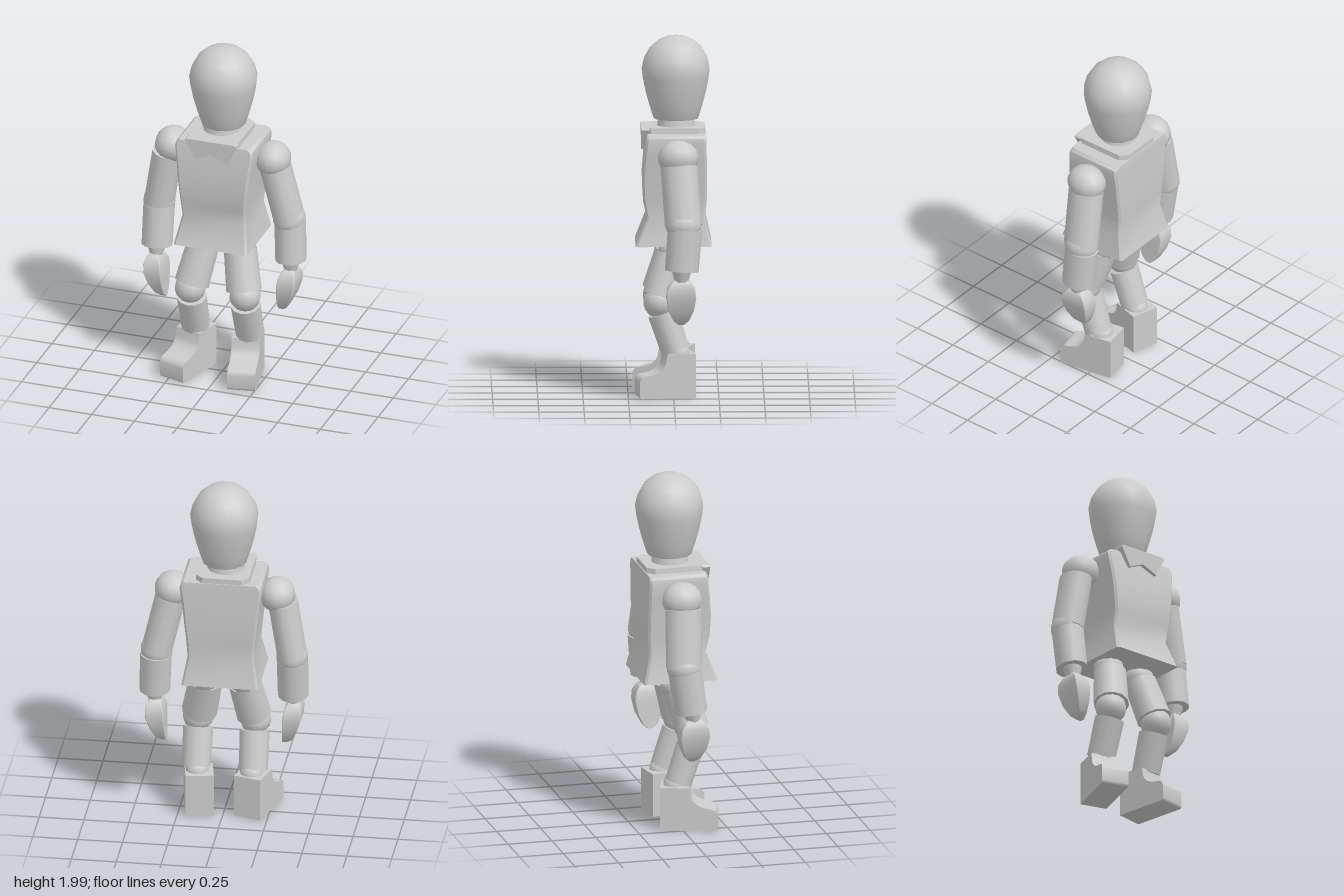
import * as THREE from 'three';
import { toCreasedNormals } from 'three/addons/utils/BufferGeometryUtils.js';

const material = new THREE.MeshStandardMaterial({ color: 0xcccccc });
const UP = new THREE.Vector3(0, 1, 0);

// Stacks rectangular sections [y, x0, x1, z0, z1] with cut corners c and closes both ends
function loft(sections, c) {
  const pos = [], idx = [];
  for (const [y, x0, x1, z0, z1] of sections) {
    const ring = [
      [x0 + c, z1], [x1 - c, z1], [x1, z1 - c], [x1, z0 + c],
      [x1 - c, z0], [x0 + c, z0], [x0, z0 + c], [x0, z1 - c],
    ];
    for (const [x, z] of ring) pos.push(x, y, z);
  }
  const last = (sections.length - 1) * 8;
  for (let k = 0; k < last; k += 8) {
    for (let i = 0; i < 8; i++) {
      const a = k + i, b = k + (i + 1) % 8;
      idx.push(a, b, b + 8, a, b + 8, a + 8);
    }
  }
  for (let i = 1; i < 7; i++) {
    idx.push(0, i + 1, i);
    idx.push(last, last + i, last + i + 1);
  }
  const g = new THREE.BufferGeometry();
  g.setAttribute('position', new THREE.Float32BufferAttribute(pos, 3));
  g.setIndex(idx);
  return toCreasedNormals(g, 0.6);
}

export function createModel() {
  const model = new THREE.Group();
  model.name = 'jointedFigure';

  function add(name, geometry) {
    const mesh = new THREE.Mesh(geometry, material);
    mesh.name = name;
    model.add(mesh);
    return mesh;
  }
  function ball(name, [x, y, z], r, rz = r) {
    const m = add(name, new THREE.SphereGeometry(1, 12, 9));
    m.position.set(x, y, z);
    m.scale.set(r, r, rz);
  }
  // Oval tube between two points
  function limb(name, top, bottom, rx, rz, flare = 1) {
    const a = new THREE.Vector3(...top), b = new THREE.Vector3(...bottom);
    const dir = a.clone().sub(b);
    const m = add(name, new THREE.CylinderGeometry(1, flare, dir.length(), 12));
    m.scale.set(rx, 1, rz);
    m.position.copy(a).add(b).multiplyScalar(0.5);
    m.quaternion.setFromUnitVectors(UP, dir.normalize());
  }

  // Egg-shaped head and neck
  const headProfile = [
    [0, 1.54], [0.122, 1.54], [0.125, 1.545], [0.146, 1.61], [0.168, 1.69], [0.184, 1.77],
    [0.19, 1.82], [0.176, 1.88], [0.145, 1.935], [0.1, 1.975], [0.05, 1.997], [0, 2],
  ].map(([r, y]) => new THREE.Vector2(r, y));
  const headGeometry = toCreasedNormals(new THREE.LatheGeometry(headProfile, 15), 0.9);
  add('head', headGeometry).position.z = -0.015;
  const neck = add('neck', new THREE.CylinderGeometry(0.095, 0.11, 0.1, 14));
  neck.position.set(-0.01, 1.51, -0.015);

  // Torso narrowing to the waist, then flaring to the hem
  const torso = [
    [0.85, 0.215, -0.21, 0.21],
    [1.01, 0.185, -0.175, 0.148],
    [1.1, 0.19, -0.183, 0.168],
    [1.22, 0.203, -0.185, 0.173],
    [1.34, 0.215, -0.183, 0.163],
    [1.43, 0.228, -0.182, 0.152],
    [1.455, 0.224, -0.181, 0.148],
    [1.47, 0.208, -0.18, 0.145],
  ].map(([y, w, z0, z1]) => [y, -w, w, z0, z1]);
  add('torso', loft(torso, 0.012));

  // Collar plate with two pointed flaps folded over the front
  add('collar', loft([
    [1.45, -0.16, 0.145, -0.175, 0.165],
    [1.5, -0.155, 0.14, -0.175, 0.165],
  ], 0.04));
  const flapShape = new THREE.Shape([
    [-0.16, 1.49], [-0.1, 1.38], [-0.01, 1.42], [0.085, 1.38], [0.14, 1.49], [0.13, 1.5], [-0.15, 1.5],
  ].map(([x, y]) => new THREE.Vector2(x, y)));
  const flaps = add('collarFlaps', new THREE.ExtrudeGeometry(flapShape, { depth: 0.045, bevelEnabled: false }));
  flaps.position.z = 0.133;

  // Arms: each side has its own pose
  const arms = [
    {
      side: 'left', s: 1, shoulder: [0.288, 1.355, -0.025], armTop: [0.298, 1.31, -0.03],
      elbow: [0.372, 0.99, -0.053], foreTop: [0.375, 0.97, -0.06], wrist: [0.385, 0.74, -0.043], handZ: -0.04,
    },
    {
      side: 'right', s: -1, shoulder: [-0.297, 1.355, -0.02], armTop: [-0.327, 1.31, -0.02],
      elbow: [-0.38, 0.99, -0.03], foreTop: [-0.38, 0.97, -0.025], wrist: [-0.38, 0.735, 0.01], handZ: 0.025,
    },
  ];
  // Hand sections: y, inner x, outer x, half depth
  const hand = [
    [0.435, 0.317, 0.35, 0.015], [0.46, 0.32, 0.375, 0.042], [0.52, 0.323, 0.405, 0.07],
    [0.59, 0.326, 0.427, 0.083], [0.64, 0.332, 0.43, 0.077], [0.675, 0.345, 0.42, 0.054],
    [0.7, 0.37, 0.4, 0.022],
  ];
  for (const a of arms) {
    ball(a.side + 'Shoulder', a.shoulder, 0.1, 0.113);
    limb(a.side + 'UpperArm', a.armTop, a.elbow, 0.085, 0.103, 1);
    ball(a.side + 'Elbow', a.elbow, 0.09, 0.098);
    limb(a.side + 'Forearm', a.foreTop, a.wrist, 0.088, 0.095, 0.98);
    const [wx, wy, wz] = a.wrist;
    limb(a.side + 'Wrist', [wx, wy + 0.02, wz], [wx, 0.68, a.handZ], 0.06, 0.06, 0.6);
    add(a.side + 'Hand', loft(hand.map(([y, i, o, h]) =>
      [y, a.s > 0 ? i : -o, a.s > 0 ? o : -i, a.handZ - h, a.handZ + h]), 0.004));
  }

  // Boot side profile, heel at the origin and toe along +x
  const boot = new THREE.Shape();
  boot.moveTo(0, 0);
  boot.lineTo(0.3, 0);
  boot.quadraticCurveTo(0.315, 0, 0.315, 0.02);
  boot.lineTo(0.315, 0.09);
  boot.quadraticCurveTo(0.31, 0.12, 0.275, 0.125);
  boot.quadraticCurveTo(0.19, 0.135, 0.17, 0.19);
  boot.lineTo(0.16, 0.245);
  boot.lineTo(0, 0.245);
  const bootGeometry = toCreasedNormals(
    new THREE.ExtrudeGeometry(boot, { depth: 0.157, bevelEnabled: false, curveSegments: 6 })
      .translate(0, 0.008, -0.0785).rotateY(-Math.PI / 2), 0.6);

  // Legs: knees bent forward, boots turned out
  const legs = [
    { side: 'left', s: 1, heel: [0.125, -0.11], turn: 0.175 },
    { side: 'right', s: -1, heel: [-0.137, -0.1], turn: -0.29 },
  ];
  for (const { side, s, heel, turn } of legs) {
    ball(side + 'Hip', [s * 0.107, 0.815, -0.005], 0.085, 0.09);
    limb(side + 'Thigh', [s * 0.107, 0.79, 0.01], [s * 0.152, 0.565, 0.075], 0.093, 0.09, 1.07);
    ball(side + 'Knee', [s * 0.16, 0.535, 0.08], 0.087);
    limb(side + 'Shin', [s * 0.157, 0.475, 0.065], [s * 0.16, 0.265, -0.005], 0.084, 0.078, 0.96);
    ball(side + 'Ankle', [s * 0.152, 0.25, -0.025], 0.065);
    const foot = add(side + 'Boot', bootGeometry);
    foot.position.set(heel[0], 0, heel[1]);
    foot.rotation.y = turn;
  }

  // Stand on the ground
  model.updateMatrixWorld(true);
  const ground = new THREE.Box3().setFromObject(model, true).min.y;
  for (const part of model.children) part.position.y -= ground;
  return model;
}
